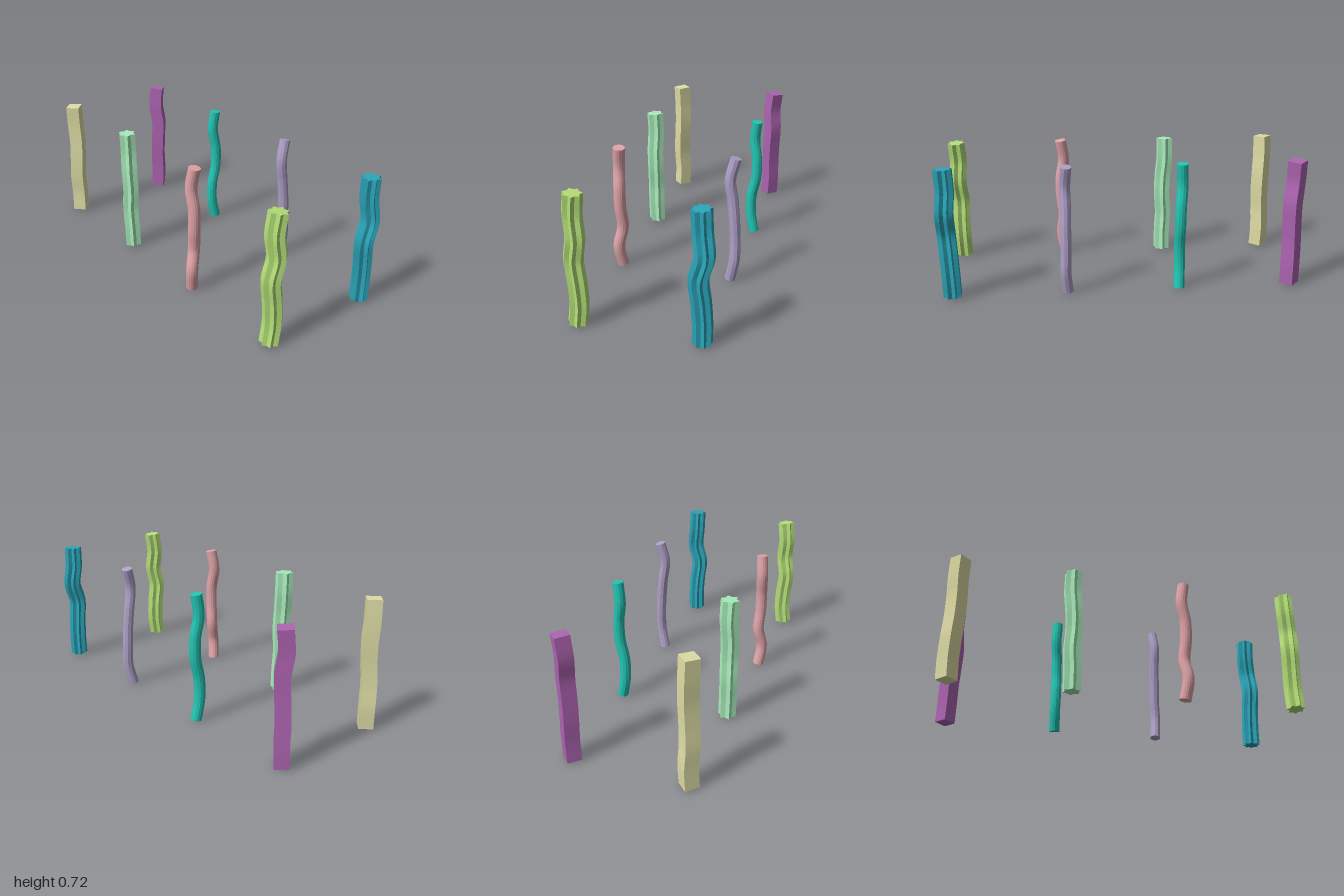
import * as THREE from 'three';

const TAU = Math.PI * 2;
const HEIGHT = 0.71, FOOT = 0.012;

// Cross-section: regular polygon, or star when an inner radius is given
function section(sides, outer, inner = 0, phase = 0) {
  const shape = new THREE.Shape();
  const count = inner ? sides * 2 : sides;
  for (let i = 0; i < count; i++) {
    const a = phase + (i / count) * TAU;
    const r = inner && i % 2 ? inner : outer;
    shape[i ? 'lineTo' : 'moveTo'](Math.cos(a) * r, Math.sin(a) * r);
  }
  return shape;
}

// Path with evenly spaced knots, swaying by thousandths of a unit from the vertical
function swayPath(swayX, swayZ) {
  return new THREE.CatmullRomCurve3(swayX.map((dx, i) =>
    new THREE.Vector3(dx / 1000, FOOT + HEIGHT * i / (swayX.length - 1), swayZ[i] / 1000)));
}

// Sweeps a section up the path, end caps square to it
function sweep(shape, curve) {
  const geo = new THREE.ExtrudeGeometry(shape, { depth: 1, steps: 60, bevelEnabled: false });
  const pos = geo.attributes.position;
  const side = new THREE.Vector3(), back = new THREE.Vector3();
  for (let i = 0; i < pos.count; i++) {
    const t = THREE.MathUtils.clamp(pos.getZ(i), 0, 1);
    const point = curve.getPointAt(t), tangent = curve.getTangentAt(t);
    side.set(1, 0, 0).addScaledVector(tangent, -tangent.x).normalize();
    back.crossVectors(tangent, side);
    point.addScaledVector(side, pos.getX(i)).addScaledVector(back, pos.getY(i));
    pos.setXYZ(i, point.x, point.y, point.z);
  }
  geo.computeVertexNormals();
  return geo;
}

export function createModel() {
  const group = new THREE.Group();
  group.name = 'wavyColumns';

  // Columns fill a grid of four across and two deep, front one first
  function addColumn(name, color, shape, swayX, swayZ) {
    const index = group.children.length;
    const material = new THREE.MeshStandardMaterial({ color, flatShading: true });
    const column = new THREE.Mesh(sweep(shape, swayPath(swayX, swayZ)), material);
    column.name = name;
    column.position.set(-0.94 + Math.floor(index / 2) * 0.627, 0, index % 2 ? -0.315 : 0.315);
    group.add(column);
  }

  // Square columns
  const square = section(4, 0.055);
  addColumn('squareColumnFront', 0xe0dea6, square, [-2, -5, -1, 6, 7, 4, 7], [3, 0, 6, 2, -3, 0, 4]);
  addColumn('squareColumnBack', 0xae64b2, square, [-5, -3, -2, 4, 7, -4, -2], [3, -1, 2, 0, -4, 6, -5]);

  // Six-pointed star column and slim round column
  addColumn('starColumnMint', 0xa8ecba, section(6, 0.051, 0.035, TAU / 4),
    [3, 3, -2, 6, 3, -6, -4], [-7, -4, -2, -3, -1, -6, -2]);
  addColumn('roundColumnTeal', 0x22c6b4, section(12, 0.031),
    [3, -1, 1, 3, 2, -6, 0], [-10, 12, 11, -12, -13, 4, -7]);

  // Round columns
  addColumn('roundColumnPink', 0xe0a4a8, section(16, 0.033),
    [-15, 4, -8, 4, 5, -14, 3], [3, 16, -6, 0, 1, 5, -5]);
  addColumn('roundColumnLavender', 0xafa0c8, section(10, 0.03),
    [-9, 3, -1, -1, -3, -1, -9], [5, -19, -20, -14, -2, 13, -13]);

  // Seven- and eight-pointed star columns
  addColumn('starColumnLime', 0xb4e078, section(7, 0.051, 0.036, 0.28),
    [-12, -10, -10, -12, -3, -11, -6], [9, -5, 0, 11, -8, 1, -11]);
  addColumn('starColumnBlue', 0x2ba6ba, section(8, 0.051, 0.036, TAU / 16),
    [-10, -8, -3, 3, 4, -6, -2], [-1, -2, 5, 16, -12, 0, 4]);

  return group;
}
